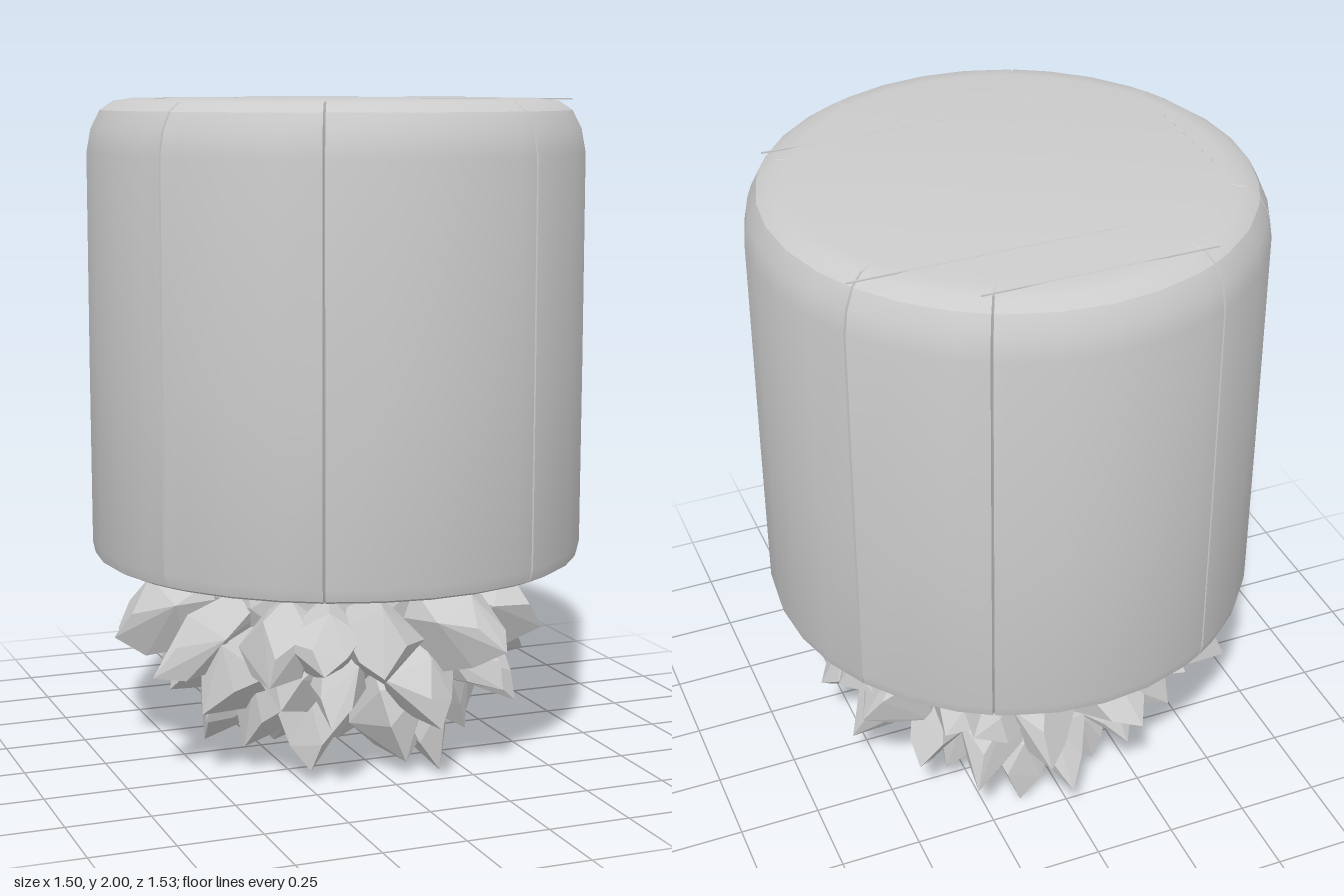
import * as THREE from 'three';
import { toCreasedNormals } from 'three/addons/utils/BufferGeometryUtils.js';
import { ConvexGeometry } from 'three/addons/geometries/ConvexGeometry.js';

const material = new THREE.MeshStandardMaterial({ color: 0xcccccc });

let seed = 11;
function random(min = 0, max = 1) {
  seed = (seed * 16807) % 2147483647;
  return min + (max - min) * (seed / 2147483647);
}

function addMesh(parent, name, geometry) {
  const mesh = new THREE.Mesh(geometry, material);
  mesh.name = name;
  parent.add(mesh);
  return mesh;
}

// Bevelled drum with narrow vertical cracks, lofted from notched rings
function bodyGeometry() {
  const profile = [[0, 0.56], [0.42, 0.575], [0.735, 0.617], [0.75, 0.625], [0.758, 0.66], [0.758, 1.2],
    [0.756, 1.84], [0.743, 1.91], [0.715, 1.965], [0.675, 1.992], [0.62, 2], [0, 2]];
  const cracks = [[-0.31, 0.7], [0.35, 0.68], [0.67, 0.36], [0.65, -0.42],
    [0.33, -0.69], [-0.365, -0.68], [-0.66, -0.37], [-0.67, 0.36]];
  const ring = [];
  for (let i = 0; i < 32; i++) ring.push([i / 32 * Math.PI * 2, 0]);
  for (const [x, z] of cracks) {
    const a = (Math.atan2(x, z) + Math.PI * 2) % (Math.PI * 2);
    for (let i = ring.length - 1; i >= 0; i--) if (Math.abs(ring[i][0] - a) < 0.03) ring.splice(i, 1);
    ring.push([a - 0.005, 0], [a, 0.014], [a + 0.005, 0]);
  }
  ring.sort((p, q) => p[0] - q[0]);

  const positions = [], index = [], n = ring.length;
  profile.forEach(([r, y]) => {
    for (const [a, depth] of ring) {
      const rr = Math.max(0, r - (r > 0.67 ? depth : 0));
      positions.push(Math.sin(a) * rr * 0.992, y, Math.cos(a) * rr * 1.012);
    }
  });
  for (let i = 0; i < profile.length - 1; i++) {
    for (let j = 0; j < n; j++) {
      const k = (j + 1) % n, a = i * n, b = a + n;
      if (i > 0) index.push(a + j, a + k, b + k);
      if (i === 0) index.push(a + j, b + k, b + j);
      else if (i < profile.length - 2) index.push(a + j, b + k, b + j);
    }
  }
  const geometry = new THREE.BufferGeometry();
  geometry.setAttribute('position', new THREE.Float32BufferAttribute(positions, 3));
  geometry.setIndex(index);
  return toCreasedNormals(geometry, 0.5);
}

// Faceted splinter running from a root to a pointed tip
function shardGeometry(root, tip, width) {
  const axis = tip.clone().sub(root).normalize();
  const u = new THREE.Vector3(0, 1, 0).cross(axis);
  if (u.length() < 0.05) u.set(1, 0, 0);
  u.normalize();
  const v = axis.clone().cross(u).normalize();
  const points = [tip.clone()];
  for (const [t, scale, sides] of [[0, 0.5, 4], [0.5, 1, 5], [0.78, 0.62, 3]]) {
    const turn = random(0, 6.28);
    for (let i = 0; i < sides; i++) {
      const a = turn + i / sides * Math.PI * 2 + random(-0.25, 0.25);
      const r = width * scale * random(0.8, 1.15);
      const p = root.clone().lerp(tip, t + random(-0.06, 0.06));
      p.addScaledVector(u, Math.cos(a) * r).addScaledVector(v, Math.sin(a) * r);
      p.y = THREE.MathUtils.clamp(p.y, 0.02, 0.6);
      points.push(p);
    }
  }
  return new ConvexGeometry(points);
}

const polar = (a, r, y) => new THREE.Vector3(Math.sin(a) * r, y, Math.cos(a) * r);

export function createModel() {
  const model = new THREE.Group();
  model.name = 'drumOnShards';
  addMesh(model, 'body', bodyGeometry());

  // Hairline seams across the top
  const seams = new THREE.Group();
  seams.name = 'topSeams';
  model.add(seams);
  for (const [x, z, length, alongZ] of [[-0.02, -0.61, 0.68, 0], [0.22, -0.42, 0.8, 0],
    [0.15, 0.365, 0.92, 0], [-0.565, 0, 0.34, 1]]) {
    const seam = addMesh(seams, 'seam', new THREE.BoxGeometry(length, 0.004, 0.006));
    seam.position.set(x, 1.9985, z);
    if (alongZ) seam.rotation.y = Math.PI / 2;
  }

  // Rough core hidden behind the shards
  const core = new THREE.IcosahedronGeometry(1, 1);
  core.scale(0.42, 0.38, 0.42);
  core.translate(0, 0.5, 0);
  core.computeVertexNormals();
  addMesh(model, 'core', core);

  // Tiers of shards: count, root radius, root y, tip radius, tip y, width
  const shards = new THREE.Group();
  shards.name = 'shards';
  model.add(shards);
  const tiers = [
    [15, 0.34, 0.5, 0.68, 0.36, 0.12],
    [15, 0.3, 0.42, 0.6, 0.19, 0.12],
    [13, 0.24, 0.36, 0.45, 0.05, 0.12],
    [6, 0.12, 0.32, 0.21, 0.04, 0.13],
    [1, 0, 0.32, 0.02, 0.04, 0.13],
  ];
  tiers.forEach(([count, rootR, rootY, tipR, tipY, width], tier) => {
    for (let i = 0; i < count; i++) {
      const a = (i + tier * 0.5) / count * Math.PI * 2 + random(-0.1, 0.1);
      const y = Math.max(0, tipY + random(-0.06, 0.07));
      const tip = polar(a + random(-0.1, 0.1), tipR * random(0.9, 1.06), i === 0 && tier === 2 ? 0 : y);
      addMesh(shards, 'shard', shardGeometry(polar(a, rootR, rootY), tip, width * random(0.85, 1.15)));
    }
  });

  // Splinters hanging from the underside near the rim
  for (const [x, z, tx, tz] of [[0.6, -0.28, 0.57, -0.26], [0.3, -0.64, 0.3, -0.6]]) {
    const root = new THREE.Vector3(x, 0.62, z), tip = new THREE.Vector3(tx, 0.46, tz);
    addMesh(shards, 'rimSplinter', shardGeometry(root, tip, 0.08));
  }
  return model;
}
